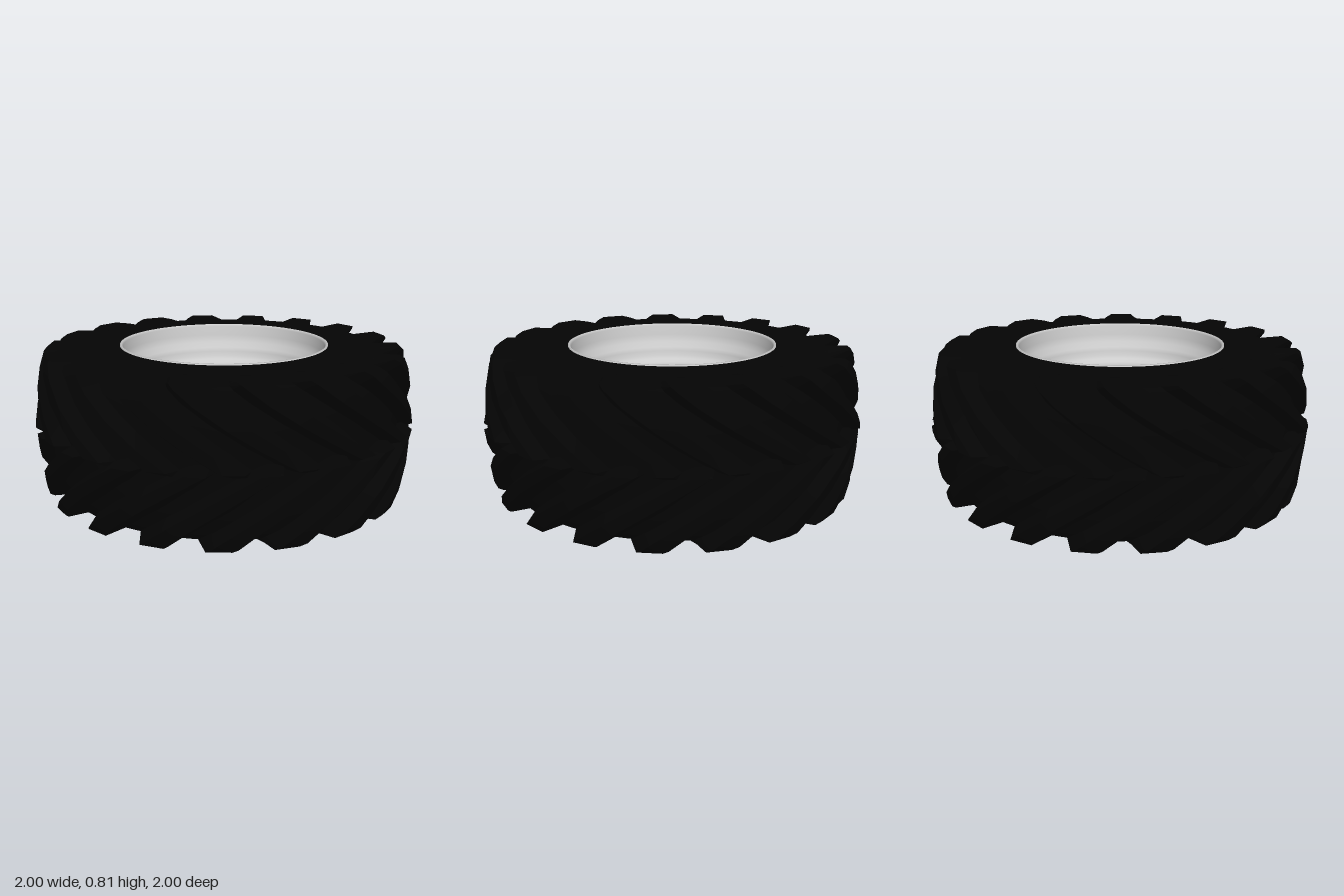
import * as THREE from 'three';
import { mergeGeometries, toCreasedNormals } from 'three/addons/utils/BufferGeometryUtils.js';

const MID = 0.405; // height of the tyre's centre plane
const LUGS = 18; // lugs on each half of the tread
const PITCH = (Math.PI * 2) / LUGS;

// Mirrors a half profile [radius, offset from centre plane] into a full one, top to bottom
function mirroredProfile(half) {
  const lower = half.slice().reverse().map(([r, h]) => [r, -h]);
  return [...half, ...lower].map(([r, h]) => new THREE.Vector2(r, MID + h));
}

// Lug sections from tread centre to sidewall:
// [sweep angle, top r, top h, base r, base h, top half angle, base half angle]
const LUG_SECTIONS = [
  [0.04, 0.945, -0.025, 0.9, -0.03, 0.03, 0.07],
  [0.0, 1.0, 0.005, 0.905, 0.0, 0.05, 0.11],
  [-0.16, 0.988, 0.1, 0.905, 0.1, 0.053, 0.13],
  [-0.32, 0.98, 0.2, 0.9, 0.2, 0.056, 0.14],
  [-0.47, 0.964, 0.3, 0.88, 0.29, 0.06, 0.14],
  [-0.56, 0.945, 0.37, 0.84, 0.345, 0.065, 0.14],
  [-0.59, 0.92, 0.391, 0.81, 0.362, 0.067, 0.135],
  [-0.62, 0.82, 0.394, 0.76, 0.38, 0.065, 0.13],
  [-0.64, 0.73, 0.395, 0.72, 0.385, 0.05, 0.1],
];

// One slanted bar lofted through the sections; side is +1 above, -1 below
function lugGeometry(side) {
  const pos = [];
  const index = [];
  const quad = (a, b, c, d) => (side > 0 ? index.push(a, b, c, a, c, d) : index.push(a, c, b, a, d, c));
  for (const [sweep, rT, hT, rB, hB, wT, wB] of LUG_SECTIONS) {
    for (const [r, h, w] of [[rB, hB, -wB], [rT, hT, -wT], [rT, hT, wT], [rB, hB, wB]]) {
      pos.push(r * Math.sin(sweep + w), MID + side * h, r * Math.cos(sweep + w));
    }
  }
  const last = (LUG_SECTIONS.length - 1) * 4;
  for (let j = 0; j < last; j += 4) {
    for (let i = 0; i < 3; i++) quad(j + i, j + i + 1, j + i + 5, j + i + 4);
  }
  quad(0, 3, 2, 1);
  quad(last, last + 1, last + 2, last + 3);
  const g = new THREE.BufferGeometry();
  g.setAttribute('position', new THREE.Float32BufferAttribute(pos, 3));
  g.setIndex(index);
  return toCreasedNormals(g, 0.8);
}

// Dished plate: an inner bowl, a band in four arcs that leaves four small slots, and an outer edge
function discGeometry() {
  const band = (radii, start = 0, length = Math.PI * 2) => {
    const points = radii.map((r) => new THREE.Vector2(r, 2.4 * Math.max(0, r - 0.33) ** 2));
    return new THREE.LatheGeometry(points, Math.ceil(length * 16), start, length);
  };
  const parts = [band([0, 0.19, 0.33, 0.35, 0.37, 0.385, 0.4]), band([0.42, 0.426, 0.432])];
  const slot = 0.024; // half angle of a slot
  for (let i = 0; i < 4; i++) {
    parts.push(band([0.4, 0.41, 0.42], (i * Math.PI) / 2 + slot, Math.PI / 2 - 2 * slot));
  }
  return mergeGeometries(parts);
}

export function createModel() {
  const model = new THREE.Group();
  const rubber = new THREE.MeshStandardMaterial({ color: 0x040404 });
  const rubberOpen = new THREE.MeshStandardMaterial({ color: 0x040404, side: THREE.DoubleSide });
  const metal = new THREE.MeshStandardMaterial({ color: 0xcccccc });
  const metalOpen = new THREE.MeshStandardMaterial({ color: 0xcccccc, side: THREE.DoubleSide });

  function add(name, geometry, material, y = 0) {
    const mesh = new THREE.Mesh(geometry, material);
    mesh.name = name;
    mesh.position.y = y;
    model.add(mesh);
    return mesh;
  }

  // Tyre body
  const tyreHalf = [
    [0.54, 0.38], [0.545, 0.395], [0.58, 0.402], [0.64, 0.405], [0.72, 0.399], [0.79, 0.386],
    [0.85, 0.356], [0.893, 0.3], [0.915, 0.2], [0.925, 0.07],
  ];
  add('tyreCarcass', new THREE.LatheGeometry(mirroredProfile(tyreHalf).reverse(), 96), rubberOpen);

  // Chevron tread: the upper lugs sit half a pitch from the lower ones
  for (const side of [1, -1]) {
    const lug = lugGeometry(side);
    const ring = [];
    for (let i = 0; i < LUGS; i++) {
      ring.push(lug.clone().rotateY(i * PITCH + (side > 0 ? PITCH / 2 : 0)));
    }
    add(side > 0 ? 'upperTreadLugs' : 'lowerTreadLugs', mergeGeometries(ring), rubber);
  }

  // Stepped wheel rim
  const rimHalf = [
    [0.55, 0.385], [0.548, 0.4], [0.54, 0.402], [0.532, 0.39], [0.526, 0.34], [0.514, 0.3],
    [0.49, 0.272], [0.484, 0.25], [0.478, 0.225], [0.466, 0.208], [0.445, 0.192],
    [0.436, 0.175], [0.432, 0.14], [0.43, 0.05],
  ];
  add('rim', new THREE.LatheGeometry(mirroredProfile(rimHalf), 96), metalOpen);

  // Wheel disc
  add('wheelDisc', discGeometry(), metalOpen, 0.37);

  // Bolt heads below the disc
  for (let i = 0; i < 4; i++) {
    const bolt = add('discBolt', new THREE.CylinderGeometry(0.018, 0.018, 0.012, 12), metal, 0.363);
    bolt.position.x = 0.31 * Math.cos((i * Math.PI) / 2);
    bolt.position.z = 0.31 * Math.sin((i * Math.PI) / 2);
  }

  // Hub drum, standing slightly proud of the disc, and the axle ring in its centre
  add('hubDrum', new THREE.CylinderGeometry(0.19, 0.19, 0.262, 64), metal, 0.261);
  add('axleCap', new THREE.CylinderGeometry(0.05, 0.05, 0.015, 40), metal, 0.395);
  add('axleRing', new THREE.TorusGeometry(0.056, 0.006, 10, 40).rotateX(Math.PI / 2), metal, 0.393);

  return model;
}
